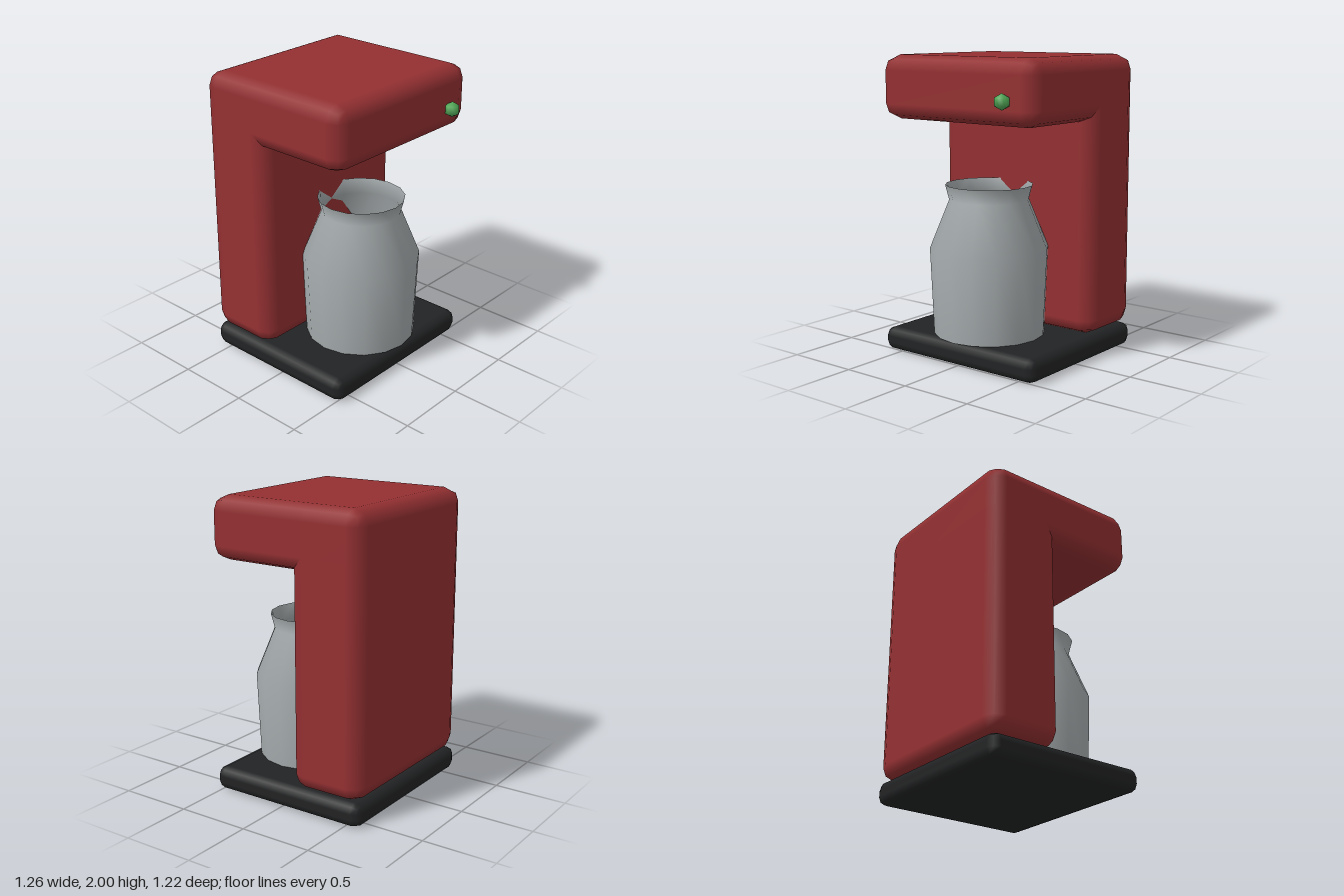
import * as THREE from 'three';

const paint = (color, extra = {}) => new THREE.MeshStandardMaterial({ color, ...extra });

// Box with two-step bevelled edges and smooth normals, given by its bounds
function bevelBox(name, material, halfW, [y0, y1], [z0, z1], r) {
  const geo = new THREE.BoxGeometry(1, 1, 1, 3, 3, 3);
  const pos = geo.attributes.position;
  const core = new THREE.Vector3(halfW - r, (y1 - y0) / 2 - r, (z1 - z0) / 2 - r);
  const p = new THREE.Vector3();
  const dir = new THREE.Vector3();
  const outer = (v) => (Math.abs(v) > 0.4 ? Math.sign(v) : 0);
  for (let i = 0; i < pos.count; i++) {
    p.fromBufferAttribute(pos, i);
    dir.set(outer(p.x), outer(p.y), outer(p.z)).normalize();
    geo.attributes.normal.setXYZ(i, dir.x, dir.y, dir.z);
    p.set(Math.sign(p.x), Math.sign(p.y), Math.sign(p.z)).multiply(core).addScaledVector(dir, r);
    pos.setXYZ(i, p.x, p.y, p.z);
  }
  const mesh = new THREE.Mesh(geo, material);
  mesh.name = name;
  mesh.position.set(0, (y0 + y1) / 2, (z0 + z1) / 2);
  return mesh;
}

export function createModel() {
  const model = new THREE.Group();
  model.name = 'coffeeMaker';
  const red = paint(0x943032);
  const black = paint(0x222324);

  // Housing: base plate, rear column and overhanging head
  model.add(bevelBox('basePlate', black, 0.63, [0, 0.16], [-0.61, 0.54], 0.06));
  model.add(bevelBox('rearColumn', red, 0.63, [0.16, 2], [-0.61, -0.09], 0.1));
  model.add(bevelBox('brewHead', red, 0.63, [1.58, 2], [-0.61, 0.54], 0.1));

  // Open jug with a pinched neck and flared rim
  const profile = [[0.37, 0.16], [0.394, 0.74], [0.264, 1.06], [0.29, 1.16]]
    .map(([r, y]) => new THREE.Vector2(r, y));
  const jug = new THREE.Mesh(
    new THREE.LatheGeometry(profile, 16),
    paint(0xa3a9ab, { side: THREE.DoubleSide })
  );
  jug.name = 'jug';
  jug.position.z = 0.175;
  model.add(jug);

  // Indicator button on the head's front
  const button = new THREE.Mesh(new THREE.SphereGeometry(0.052, 10, 3), paint(0x4fa554));
  button.name = 'powerButton';
  button.position.set(0.42, 1.74, 0.57);
  model.add(button);

  return model;
}
